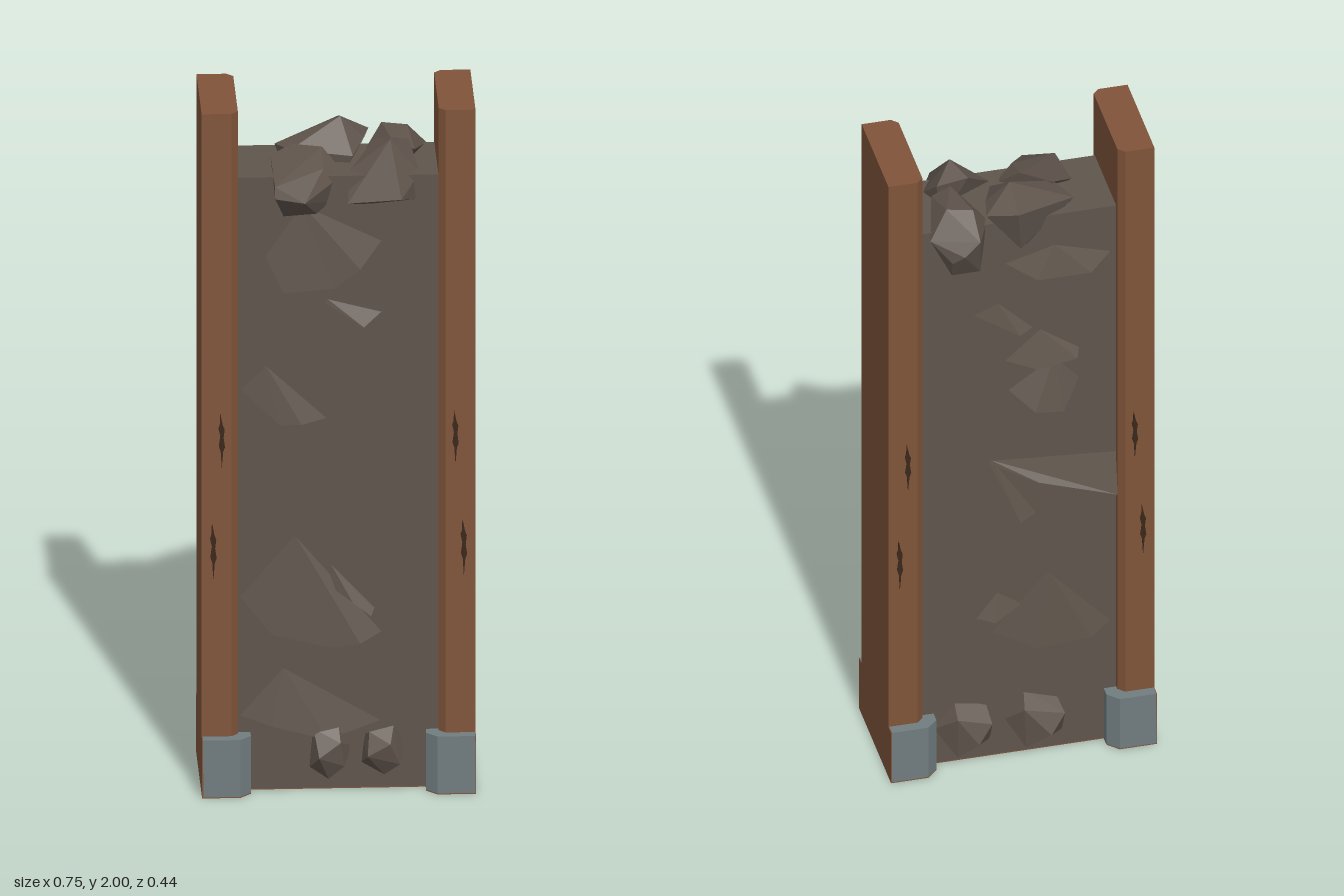
import * as THREE from 'three';
import { ConvexGeometry } from 'three/addons/geometries/ConvexGeometry.js';

const mat = (name, color) => {
  const m = new THREE.MeshStandardMaterial({ color, flatShading: true });
  m.name = name;
  return m;
};

export function createModel() {
  const wood = mat('brown wood', 0x80543a);
  const metal = mat('grey metal', 0x717d80);
  const stone = mat('wall stone', 0x5f554c);
  const rockMat = mat('rubble stone', 0x5f544c);
  const dark = mat('dark crack', 0x3a2619);
  const root = new THREE.Group();
  const ZC = -0.005; // depth centre of wall and posts

  const add = (name, geo, material, parent = root) => {
    const m = new THREE.Mesh(geo, material);
    m.name = name;
    parent.add(m);
    return m;
  };
  const box = (x0, x1, y0, y1, z0, z1) =>
    new THREE.BoxGeometry(x1 - x0, y1 - y0, z1 - z0)
      .translate((x0 + x1) / 2, (y0 + y1) / 2, (z0 + z1) / 2);

  // upright prism with its two inner corners cut, side = +1 or -1
  const prism = (side, inner, outer, half, cut, y0, y1) => {
    const pts = [[outer, -half], [outer, half], [inner + cut, half], [inner, half - cut],
      [inner, -half + cut], [inner + cut, -half]];
    const shape = new THREE.Shape(pts.map(([x, z]) => new THREE.Vector2(x * side, z)));
    return new THREE.ExtrudeGeometry(shape, { depth: y1 - y0, bevelEnabled: false })
      .rotateX(-Math.PI / 2).translate(0, y0, ZC);
  };

  // wall core and its underside
  add('wall', box(-0.28, 0.28, 0.003, 1.8, ZC - 0.12, ZC + 0.12), stone);
  add('wallUnderside', box(-0.28, 0.28, 0, 0.003, ZC - 0.12, ZC + 0.12), wood);

  // jagged sliver used for cracks in the posts
  const crack = (h) => {
    const s = new THREE.Shape([[0, -0.5], [0.004, -0.2], [0.009, -0.12], [0.005, 0.05], [0.008, 0.2],
      [0.003, 0.28], [-0.004, 0.5], [-0.005, 0.3], [-0.009, 0.22], [-0.004, 0.08], [-0.008, -0.1],
      [-0.003, -0.2]].map(([x, y]) => new THREE.Vector2(x, y * h)));
    return new THREE.ExtrudeGeometry(s, { depth: 0.003, bevelEnabled: false });
  };

  // posts with metal feet, mirrored
  for (const side of [1, -1]) {
    const g = new THREE.Group();
    g.name = side > 0 ? 'leftPost' : 'rightPost';
    root.add(g);
    add('post', prism(side, 0.275, 0.375, 0.15, 0.018, 0, 2), wood, g);
    add('foot', prism(side, 0.24, 0.373, 0.18, 0.03, 0.003, 0.17), metal, g);
    add('footUnderside', prism(side, 0.24, 0.375, 0.18, 0.03, 0, 0.003), wood, g);
    const xs = [0.372 * side, 0.375 * side].sort((a, b) => a - b);
    add('footSide', box(xs[0], xs[1], 0, 0.17, ZC - 0.18, ZC + 0.18), wood, g);
    for (const face of [1, -1]) {
      for (const [x, y, h] of [[0.32, 1.04, 0.16], [0.343, 0.715, 0.17]]) {
        const c = add('crack', crack(h), dark, g);
        c.position.set(x * side, y, ZC + face * 0.149);
        if (face < 0) c.rotation.y = Math.PI;
      }
    }
  }

  // stones in the wall: a sloping face that stands proud along its lower edge
  const flake = (face, out, apex, edge) => {
    const Z = 0.1195, n = edge.length, pos = [];
    const p = edge.map(([x, y], i) => [x, y, Z + (i === 0 || i === n - 1 ? 0 : out)]);
    for (let i = 0; i < n - 1; i++) {
      const a = p[i], b = p[i + 1];
      const wa = [a[0], a[1] + 0.012, Z - 0.003], wb = [b[0], b[1] + 0.012, Z - 0.003];
      pos.push(...apex, Z, ...a, ...b, ...a, ...wa, ...wb, ...a, ...wb, ...b);
    }
    const geo = new THREE.BufferGeometry();
    geo.setAttribute('position', new THREE.Float32BufferAttribute(pos, 3));
    geo.computeVertexNormals();
    if (face < 0) geo.rotateY(Math.PI);
    add(face > 0 ? 'frontWallStone' : 'backWallStone', geo.translate(0, 0, ZC), stone);
  };
  flake(1, 0.018, [-0.1, 1.72], [[-0.2, 1.57], [-0.15, 1.465], [-0.01, 1.475], [0.06, 1.53], [0.12, 1.61]]);
  flake(1, 0.018, [-0.03, 1.44], [[-0.04, 1.43], [0.07, 1.36], [0.12, 1.4]]);
  flake(1, 0.014, [-0.2, 1.25], [[-0.27, 1.18], [-0.16, 1.075], [-0.1, 1.075], [-0.03, 1.09]]);
  flake(1, 0.018, [-0.12, 0.75], [[-0.27, 0.57], [-0.18, 0.46], [-0.02, 0.42], [0.06, 0.43], [0.12, 0.46]]);
  flake(1, 0.015, [-0.02, 0.66], [[-0.03, 0.6], [0.04, 0.55], [0.09, 0.51], [0.1, 0.53]]);
  flake(1, 0.018, [-0.15, 0.36], [[-0.27, 0.22], [-0.18, 0.19], [-0.03, 0.15], [0.12, 0.2]]);
  flake(-1, 0.02, [0.1, 1.7], [[-0.04, 1.66], [0.05, 1.6], [0.2, 1.6], [0.26, 1.65]]);
  flake(-1, 0.02, [-0.06, 1.53], [[-0.13, 1.5], [0.0, 1.42], [0.04, 1.43]]);
  flake(-1, 0.025, [0.06, 1.42], [[-0.04, 1.33], [0.05, 1.3], [0.16, 1.32], [0.17, 1.34]]);
  flake(-1, 0.03, [0.1, 1.32], [[-0.03, 1.23], [0.04, 1.16], [0.12, 1.15], [0.17, 1.24]]);
  flake(-1, 0.028, [-0.08, 1.0], [[-0.09, 0.99], [0.05, 0.92], [0.272, 0.84], [0.274, 0.97]]);
  flake(-1, 0.025, [-0.07, 0.99], [[-0.08, 0.98], [0.0, 0.79], [0.05, 0.8]]);
  flake(-1, 0.022, [-0.06, 0.55], [[-0.12, 0.47], [-0.07, 0.46], [0.01, 0.5]]);
  flake(-1, 0.015, [0.08, 0.6], [[-0.08, 0.42], [0.05, 0.35], [0.2, 0.36], [0.26, 0.4]]);

  // angular boulders piled on top of the wall
  const hull = (name, pts) =>
    add(name, new ConvexGeometry(pts.map((p) => new THREE.Vector3(...p))), rockMat);
  hull('topRockBack', [[-0.165, 1.82, -0.085], [-0.145, 1.77, -0.06], [0.015, 1.86, -0.185],
    [0.015, 1.9, -0.08], [0.095, 1.84, -0.14], [0.08, 1.84, -0.07], [-0.125, 1.83, -0.01],
    [0.045, 1.82, 0.02], [0, 1.72, -0.15], [0, 1.72, 0]]);
  hull('topRockFrontRight', [[0.025, 1.73, 0.145], [0.035, 1.8, 0.07], [0.11, 1.87, 0.005],
    [0.145, 1.89, 0.075], [0.2, 1.86, 0], [0.225, 1.79, 0.075], [0.21, 1.73, 0.12],
    [0.17, 1.76, 0.2], [0.08, 1.71, 0.1], [0.19, 1.72, 0.02]]);
  hull('topRockFrontLeft', [[-0.18, 1.82, 0.0], [-0.12, 1.84, -0.03], [-0.04, 1.85, 0.02],
    [0.02, 1.79, 0.07], [-0.04, 1.82, 0.11], [-0.095, 1.76, 0.217], [-0.175, 1.79, 0.165],
    [-0.175, 1.76, 0.18], [-0.15, 1.69, 0.13], [-0.06, 1.7, 0.14], [-0.02, 1.72, 0.1]]);
  hull('topRockBackRight', [[0.13, 1.81, -0.215], [0.175, 1.77, -0.22], [0.205, 1.74, -0.2],
    [0.255, 1.79, -0.15], [0.08, 1.79, -0.09], [0.13, 1.86, -0.13], [0.2, 1.86, -0.11],
    [0.215, 1.83, 0], [0.16, 1.85, 0.01], [0.12, 1.68, -0.17], [0.2, 1.68, -0.17]]);

  // smaller rocks lying at the base
  let seed = 7;
  const rnd = () => (seed = (seed * 16807) % 2147483647) / 2147483647;
  const baseRock = (name, x, y, z, rx, ry, rz) => {
    const pts = [];
    for (let i = 0; i < 12; i++) {
      const v = 1 - (2 * i + 1) / 12, a = i * 2.4 + rnd() * 0.6, r = Math.sqrt(1 - v * v);
      pts.push([x + rx * r * Math.cos(a), y + ry * v, z + rz * r * Math.sin(a)]);
    }
    hull(name, pts);
  };
  baseRock('baseRockFrontRight', -0.025, 0.115, 0.115, 0.065, 0.085, 0.06);
  baseRock('baseRockFrontLeft', 0.125, 0.12, 0.12, 0.075, 0.075, 0.07);
  baseRock('baseRockBackLeft', 0.15, 0.11, -0.125, 0.09, 0.1, 0.065);
  baseRock('baseRockBackRight', -0.05, 0.11, -0.125, 0.09, 0.1, 0.07);
  return root;
}
